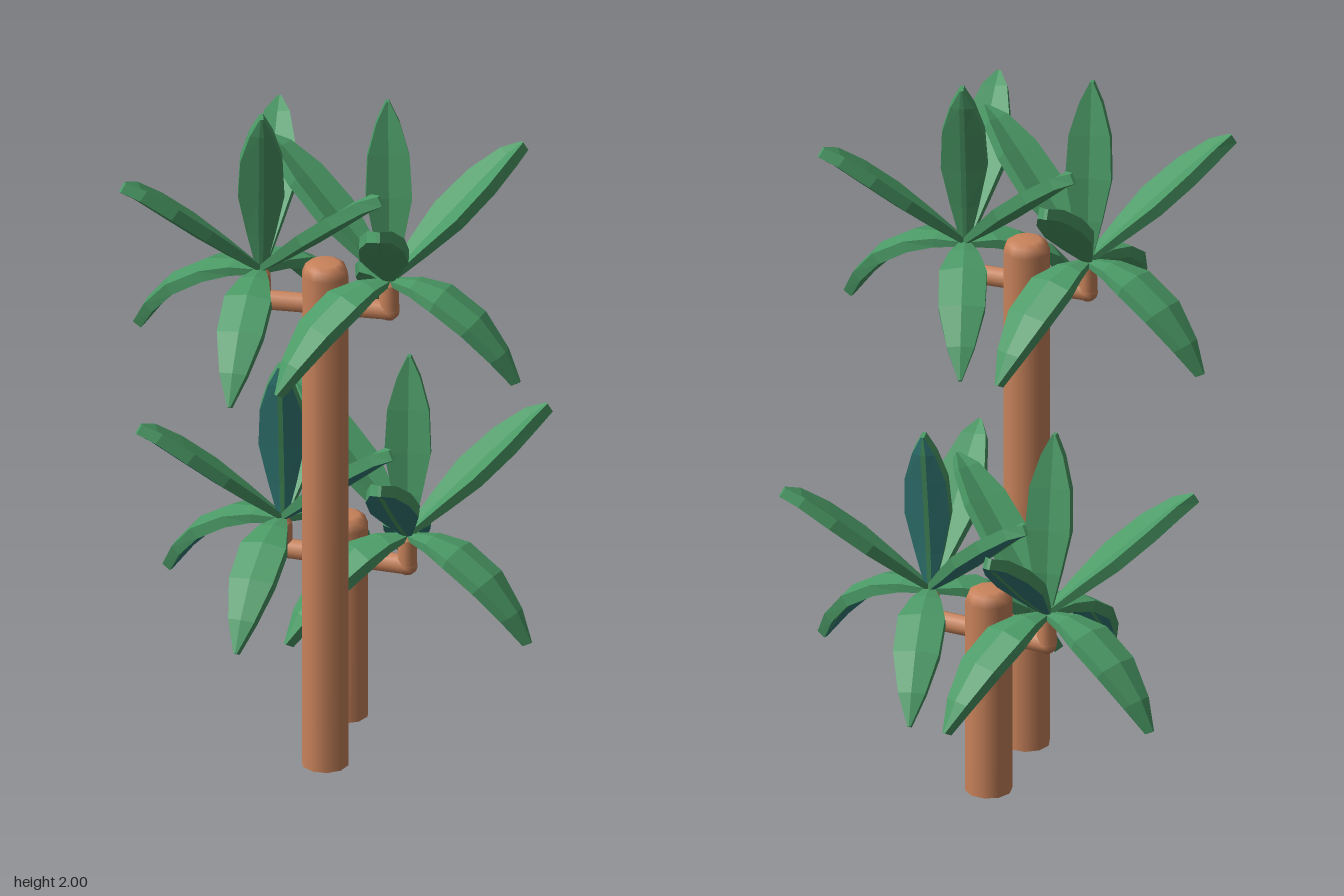
import * as THREE from 'three';

const green = new THREE.MeshStandardMaterial({ color: 0x4b9a66 });
green.name = 'leaf green';
const teal = new THREE.MeshStandardMaterial({ color: 0x347f7b });
teal.name = 'leaf underside teal';
const bark = new THREE.MeshStandardMaterial({ color: 0xc9835b });
bark.name = 'terracotta bark';

const rad = THREE.MathUtils.degToRad;

// Leaf slab swept along a path of [outward, height, half width, thickness].
// fold > 0 raises the margins, fold < 0 lowers them.
function leafGeometry(path, fold) {
  const sections = path.map(([x, y, w, t], i) => {
    const a = path[Math.max(i - 1, 0)], b = path[Math.min(i + 1, path.length - 1)];
    const len = Math.hypot(b[0] - a[0], b[1] - a[1]);
    const tx = (b[0] - a[0]) / len, ty = (b[1] - a[1]) / len;
    const lift = w * fold, rib = Math.min(0.007, w * 0.4), h = t / 2;
    // [normal offset, side offset] around the cross-section
    const ring = [
      [h, 0], [h + lift, w], [lift - h, w], [-h, rib],
      [-h, -rib], [lift - h, -w], [h + lift, -w],
    ];
    return ring.map(([n, s]) => [x - ty * n, y + tx * n, s]);
  });
  const upper = [], under = [];
  const tri = (out, a, b, c) => out.push(...a, ...b, ...c);
  for (let i = 0; i + 1 < sections.length; i++) {
    for (let j = 0; j < 7; j++) {
      const k = (j + 1) % 7, s = sections[i], e = sections[i + 1];
      const out = j === 2 || j === 4 ? under : upper; // the midrib stays green
      tri(out, s[j], s[k], e[k]);
      tri(out, s[j], e[k], e[j]);
    }
  }
  const base = sections[0], tip = sections[sections.length - 1];
  for (let j = 1; j < 6; j++) {
    tri(upper, tip[0], tip[j], tip[j + 1]);
    tri(upper, base[0], base[j + 1], base[j]);
  }
  const g = new THREE.BufferGeometry();
  g.setAttribute('position', new THREE.Float32BufferAttribute([...upper, ...under], 3));
  g.addGroup(0, upper.length / 3, 0);
  g.addGroup(upper.length / 3, under.length / 3, 1);
  g.computeVertexNormals();
  return g;
}

const raised = leafGeometry([
  [0, 0, 0.012, 0.014], [0.1, 0.08, 0.042, 0.028], [0.19, 0.152, 0.068, 0.034],
  [0.29, 0.235, 0.062, 0.036], [0.37, 0.3, 0.035, 0.034], [0.415, 0.327, 0.005, 0.03],
], 0.2);
const drooping = leafGeometry([
  [0, 0, 0.012, 0.014], [0.08, 0.003, 0.042, 0.026], [0.16, -0.014, 0.066, 0.032],
  [0.26, -0.077, 0.064, 0.034], [0.335, -0.165, 0.038, 0.032], [0.38, -0.245, 0.005, 0.028],
], -0.2);
const upright = leafGeometry([
  [0, 0, 0.012, 0.014], [0.013, 0.12, 0.04, 0.028], [0.033, 0.24, 0.064, 0.034],
  [0.057, 0.36, 0.058, 0.036], [0.077, 0.45, 0.032, 0.034], [0.087, 0.507, 0.005, 0.028],
], 0.2);

// Directions in degrees, turning from +x towards +z
const crowns = [
  { arm: 52, raised: [15.5, 135, 256], drooping: [63.5, 184, 304], upright: 308 },
  { arm: 232, raised: [78, 198, 318], drooping: [144, 247, 342], upright: 130 },
];

function addMesh(parent, name, geometry, material) {
  const m = new THREE.Mesh(geometry, material);
  m.name = name;
  parent.add(m);
  return m;
}

function makeTree(name, height, underside) {
  const tree = new THREE.Group();
  tree.name = name;
  const r = 0.066;

  // Trunk with a rounded top
  const profile = [[0, 0], [r, 0], [r, 0], [r, height - 0.035], [r * 0.85, height - 0.01], [r * 0.6, height], [0, height]];
  addMesh(tree, 'trunk', new THREE.LatheGeometry(profile.map(([x, y]) => new THREE.Vector2(x, y)), 10), bark);

  for (const c of crowns) {
    // Bent arm carrying the crown
    const arm = new THREE.Group();
    arm.name = 'arm';
    arm.rotation.y = -rad(c.arm);
    arm.position.y = height - 0.13;
    tree.add(arm);
    const reach = addMesh(arm, 'armReach', new THREE.CylinderGeometry(0.029, 0.029, 0.18, 8), bark);
    reach.rotation.z = Math.PI / 2;
    reach.position.x = 0.09;
    addMesh(arm, 'armElbow', new THREE.SphereGeometry(0.03, 8, 6), bark).position.x = 0.18;
    const stem = addMesh(arm, 'armStem', new THREE.CylinderGeometry(0.027, 0.029, 0.08, 8), bark);
    stem.position.set(0.18, 0.04, 0);
    const stemTip = addMesh(arm, 'armTip', new THREE.CylinderGeometry(0.008, 0.027, 0.03, 8), bark);
    stemTip.position.set(0.18, 0.095, 0);

    // Crown of leaves
    const crown = new THREE.Group();
    crown.name = 'crown';
    crown.position.set(0.18 * Math.cos(rad(c.arm)), height - 0.04, 0.18 * Math.sin(rad(c.arm)));
    tree.add(crown);
    const leaf = (label, geometry, angle) => {
      addMesh(crown, label, geometry, [green, underside]).rotation.y = -rad(angle);
    };
    c.raised.forEach((a) => leaf('raisedLeaf', raised, a));
    c.drooping.forEach((a) => leaf('droopingLeaf', drooping, a));
    leaf('uprightLeaf', upright, c.upright);
  }
  return tree;
}

export function createModel() {
  const model = new THREE.Group();
  model.name = 'palmPair';
  const tall = makeTree('tallTree', 1.53, green);
  tall.position.set(-0.11, 0, 0.11);
  const short = makeTree('shortTree', 0.61, teal);
  short.position.set(0.14, 0, -0.095);
  short.rotation.y = -rad(6.5);
  model.add(tall, short);
  return model;
}
